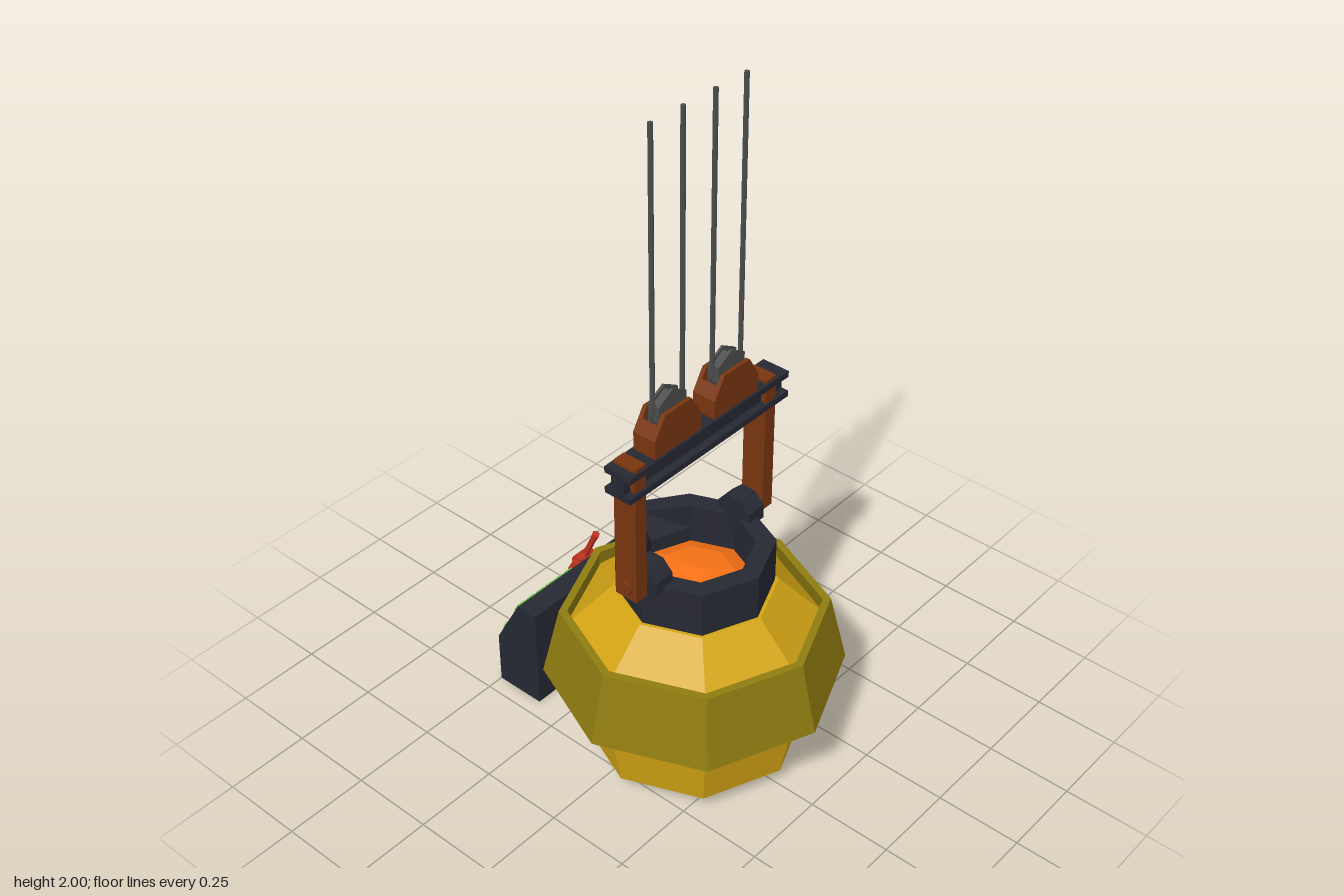
import * as THREE from 'three';

const mat = (color) => new THREE.MeshStandardMaterial({ color, flatShading: true });
const M = {
  yellow: mat(0xd4a514), olive: mat(0x8f7c10), dark: mat(0x262833), brown: mat(0x78350f),
  orange: mat(0xf97316), steel: mat(0x4b4d4d), green: mat(0x6cc04a), red: mat(0xc0321e),
};

function add(parent, name, geo, material, x = 0, y = 0, z = 0) {
  const mesh = new THREE.Mesh(geo, material);
  mesh.name = name;
  mesh.position.set(x, y, z);
  parent.add(mesh);
  return mesh;
}
const box = (w, h, d) => new THREE.BoxGeometry(w, h, d);
const group = (parent, name, x = 0, y = 0, z = 0) => {
  const g = new THREE.Group();
  g.name = name;
  g.position.set(x, y, z);
  parent.add(g);
  return g;
};
// Eight-sided turned shape, profile listed as [radius, height]
const turned = (pts) => new THREE.LatheGeometry(pts.map(([r, y]) => new THREE.Vector2(r, y)), 8);
// Flat outline pushed through a depth, centred on z = 0
function plate(pts, depth) {
  const shape = new THREE.Shape(pts.map(([x, y]) => new THREE.Vector2(x, y)));
  return new THREE.ExtrudeGeometry(shape, { depth, bevelEnabled: false }).translate(0, 0, -depth / 2);
}

function buildVessel(parent) {
  const vessel = group(parent, 'vessel', 0, 0, 0.075);
  add(vessel, 'pot', turned([[0, 0.1], [0.23, 0.1], [0.31, 0.055], [0.35, 0.27],
    [0.35, 0.435], [0.225, 0.56], [0, 0.56]]), M.yellow);
  add(vessel, 'outerBand', turned([[0.395, 0.27], [0.42, 0.27], [0.37, 0.48],
    [0.347, 0.48], [0.395, 0.27]]), M.olive);

  // Collar, with its rear top corner drawn out into a pouring spout
  const collar = turned([[0.16, 0.56], [0.215, 0.56], [0.215, 0.62], [0.215, 0.695],
    [0.16, 0.695], [0.16, 0.62], [0.16, 0.56]]);
  const p = collar.attributes.position;
  for (let i = 0; i < p.count; i++) {
    if (p.getY(i) > 0.69 && p.getZ(i) < -0.15 && Math.abs(p.getX(i)) < 0.01) {
      p.setZ(i, p.getZ(i) - 0.045);
    }
  }
  add(vessel, 'collar', collar, M.dark);
  add(vessel, 'moltenMetal', turned([[0.16, 0.575], [0.105, 0.6], [0, 0.615]]), M.orange);

  for (const s of [-1, 1]) {
    const lug = new THREE.CylinderGeometry(0.058, 0.058, 0.062, 8).rotateY(Math.PI / 8).rotateZ(Math.PI / 2);
    add(vessel, 'lug', lug, M.dark, s * 0.187, 0.702, 0);
  }
}

function buildHoist(parent) {
  const hoist = group(parent, 'hoist', 0, 0, 0.075);

  // I-section crossbeam
  add(hoist, 'beamTopFlange', box(0.62, 0.018, 0.085), M.dark, 0.01, 1.092, 0);
  add(hoist, 'beamWeb', box(0.62, 0.07, 0.04), M.dark, 0.01, 1.06, 0);
  add(hoist, 'beamBottomFlange', box(0.62, 0.018, 0.085), M.dark, 0.01, 1.03, 0);

  for (const s of [-1, 1]) {
    // Hanger arm with its pin through the lug
    add(hoist, 'hangerArm', box(0.04, 0.425, 0.072), M.brown, s * 0.255, 0.8975, 0);
    const pin = new THREE.CylinderGeometry(0.023, 0.023, 0.075, 8).rotateZ(Math.PI / 2);
    add(hoist, 'hangerPin', pin, M.brown, s * 0.248, 0.722, 0);

    // Pulley block: two cheeks, end walls, wheel and cables
    const block = group(hoist, 'pulleyBlock', s * 0.113, 0, 0);
    const cheek = [[-0.087, 1.1], [0.087, 1.1], [0.087, 1.155], [0.05, 1.215], [-0.05, 1.215], [-0.087, 1.155]];
    for (const k of [-1, 1]) {
      add(block, 'cheek', plate(cheek, 0.012), M.brown, 0, 0, k * 0.03);
      const end = add(block, 'endWall', plate([[0.066, 1.1], [0.087, 1.1], [0.087, 1.155],
        [0.066, 1.189]], 0.05), M.brown);
      if (k < 0) end.rotation.y = Math.PI;
      add(block, 'wheelFlange', wheel(0.06, 0.007), M.steel, 0, 1.2, k * 0.014);
      add(block, 'cable', new THREE.CylinderGeometry(0.007, 0.007, 0.8, 6), M.steel, k * 0.056, 1.6, 0);
    }
    add(block, 'wheelHub', wheel(0.05, 0.024), M.steel, 0, 1.2, 0);
    add(block, 'axle', wheel(0.012, 0.06), M.steel, 0, 1.18, 0);
  }
}
const wheel = (r, width) => new THREE.CylinderGeometry(r, r, width, 6).rotateX(Math.PI / 2);

function buildConsole(parent) {
  const desk = group(parent, 'console');
  // Side outline runs in (-z, y), then turns to lie across x
  const side = [[0.345, 0], [0.5, 0], [0.5, 0.165], [0.413, 0.325], [0.345, 0.325]];
  add(desk, 'consoleBody', plate(side, 0.432).rotateY(Math.PI / 2), M.dark, 0.016, 0, 0);

  // Sloped face frame: local y is out of the face, local z runs down the slope
  const face = group(desk, 'slopedFace', 0, 0.325, -0.413);
  const down = new THREE.Vector3(0, -0.16, -0.087).normalize();
  const out = new THREE.Vector3(0, 0.087, -0.16).normalize();
  face.quaternion.setFromRotationMatrix(
    new THREE.Matrix4().makeBasis(new THREE.Vector3().crossVectors(out, down), out, down));

  // Local x points to -x here, so offsets are negated
  for (const row of [0.038, 0.146]) {
    for (let i = 0; i < 6; i++) {
      add(face, 'button', box(0.028, 0.012, 0.032), M.green, 0.168 - i * 0.0385, 0.003, row);
    }
  }

  // Lever on its base
  add(face, 'leverBase', box(0.084, 0.012, 0.13), M.red, -0.135, 0.004, 0.1);
  for (const s of [-1, 1]) {
    add(face, 'leverBracket', box(0.012, 0.03, 0.05), M.red, -0.135 + s * 0.034, 0.018, 0.1);
  }
  const pivot = new THREE.CylinderGeometry(0.02, 0.02, 0.06, 8).rotateZ(Math.PI / 2);
  add(desk, 'leverPivot', pivot, M.red, 0.135, 0.265, -0.473);
  const lever = group(desk, 'lever', 0.135, 0.265, -0.473);
  lever.rotation.x = Math.atan2(0.053, 0.115);
  add(lever, 'leverStick', box(0.014, 0.1, 0.014), M.red, 0, 0.05, 0);
  add(lever, 'leverGrip', new THREE.CylinderGeometry(0.012, 0.009, 0.045, 6), M.red, 0, 0.105, 0);
}

export function createModel() {
  const model = new THREE.Group();
  model.name = 'pouringLadle';
  buildVessel(model);
  buildHoist(model);
  buildConsole(model);
  return model;
}
